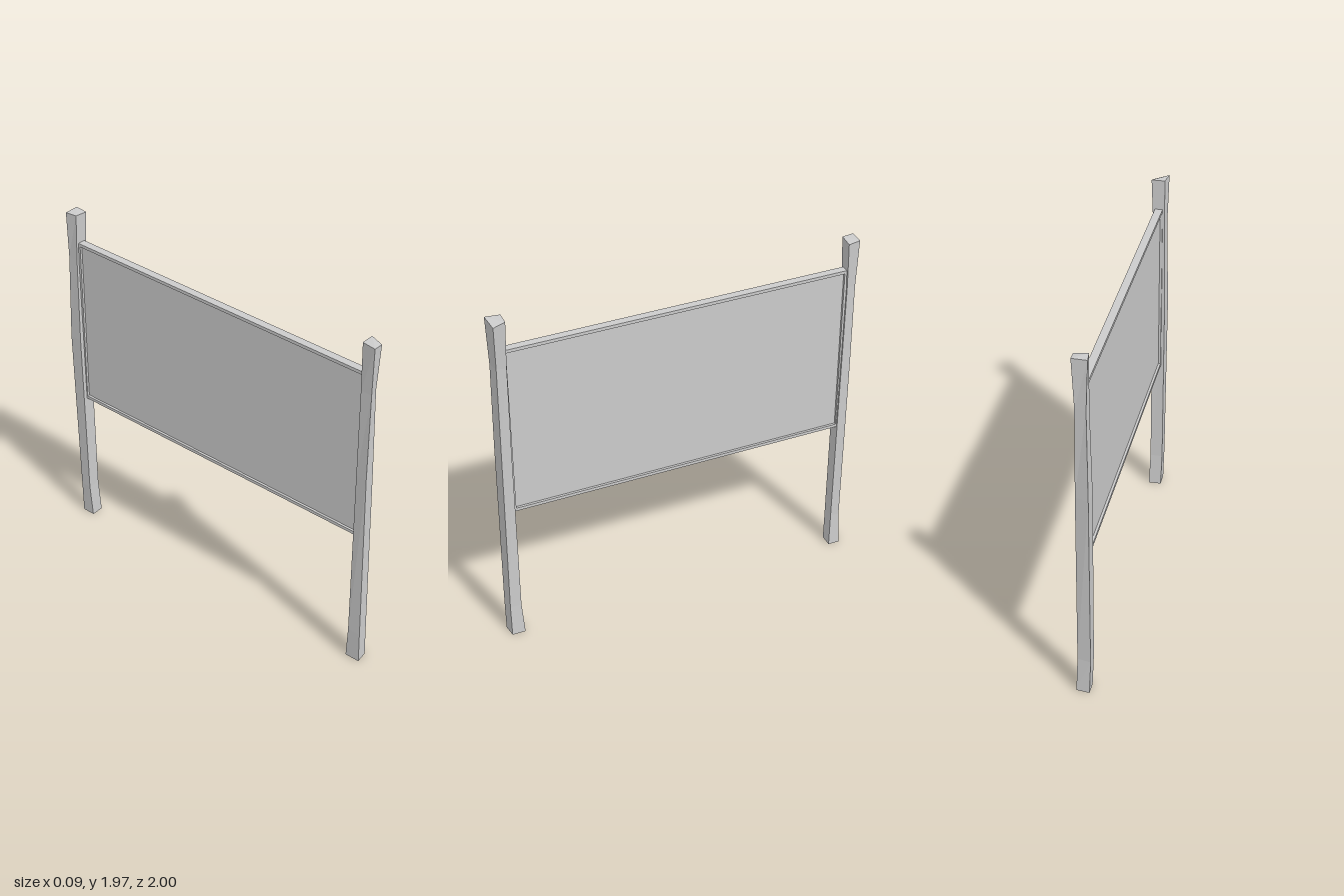
import * as THREE from 'three';

const material = new THREE.MeshStandardMaterial({ color: 0xcccccc, flatShading: true });

// Rough-hewn post from four-cornered sections.
// Each section: [y, then x, z of the corners (-x,+z), (+x,+z), (+x,-z), (-x,-z)]
function makePost(name, sections, topDrop) {
  const positions = [];
  const rings = sections.map(([y, ...c], level) =>
    [0, 1, 2, 3].map(i => [c[2 * i], y - (level === sections.length - 1 ? topDrop[i] : 0), c[2 * i + 1]]));
  const quad = (a, b, c, d) => positions.push(...a, ...b, ...c, ...a, ...c, ...d);
  for (let k = 0; k < rings.length - 1; k++) {
    for (let i = 0; i < 4; i++) {
      const j = (i + 1) % 4;
      quad(rings[k][i], rings[k][j], rings[k + 1][j], rings[k + 1][i]);
    }
  }
  const bottom = rings[0], top = rings[rings.length - 1];
  quad(bottom[3], bottom[2], bottom[1], bottom[0]);
  quad(top[0], top[1], top[2], top[3]);
  const geometry = new THREE.BufferGeometry();
  geometry.setAttribute('position', new THREE.Float32BufferAttribute(positions, 3));
  geometry.computeVertexNormals();
  const mesh = new THREE.Mesh(geometry, material);
  mesh.name = name;
  return mesh;
}

function makeBox(name, width, height, depth, y, z = 0) {
  const mesh = new THREE.Mesh(new THREE.BoxGeometry(width, height, depth), material);
  mesh.name = name;
  mesh.position.set(0, y, z);
  return mesh;
}

export function createModel() {
  const group = new THREE.Group();
  group.name = 'noticeBoard';

  // Uneven timber posts
  group.add(makePost('frontPost', [
    [0, -0.03, 1.0, 0.04, 0.99, 0.04, 0.917, -0.03, 0.917],
    [0.19, -0.035, 1.0, 0.034, 0.99, 0.034, 0.928, -0.035, 0.927],
    [1.2, -0.045, 0.99, 0.027, 0.977, 0.032, 0.925, -0.038, 0.925],
    [1.7, -0.036, 0.985, 0.02, 0.97, 0.03, 0.92, -0.033, 0.92],
    [1.97, -0.043, 0.993, 0.037, 0.976, 0.04, 0.915, -0.032, 0.915],
  ], [0, 0.022, 0, 0]));
  group.add(makePost('backPost', [
    [0, -0.03, -0.91, 0.04, -0.91, 0.04, -0.975, -0.03, -0.983],
    [0.2, -0.04, -0.917, 0.03, -0.917, 0.034, -0.965, -0.037, -0.98],
    [1.2, -0.045, -0.925, 0.03, -0.925, 0.03, -0.975, -0.04, -0.998],
    [1.7, -0.035, -0.93, 0.03, -0.93, 0.025, -0.978, -0.033, -0.988],
    [1.97, -0.035, -0.92, 0.04, -0.92, 0.037, -0.983, -0.043, -0.985],
  ], [0, 0.008, 0, 0]));

  // Thin panel held by rails above and below and stiles at the posts
  group.add(makeBox('panel', 0.016, 0.97, 1.86, 1.305));
  group.add(makeBox('topRail', 0.042, 0.018, 1.86, 1.789));
  group.add(makeBox('bottomRail', 0.042, 0.018, 1.86, 0.821));
  for (const side of [1, -1]) {
    group.add(makeBox(side > 0 ? 'frontStile' : 'backStile', 0.042, 0.952, 0.016, 1.305, side * 0.924));
  }
  return group;
}
